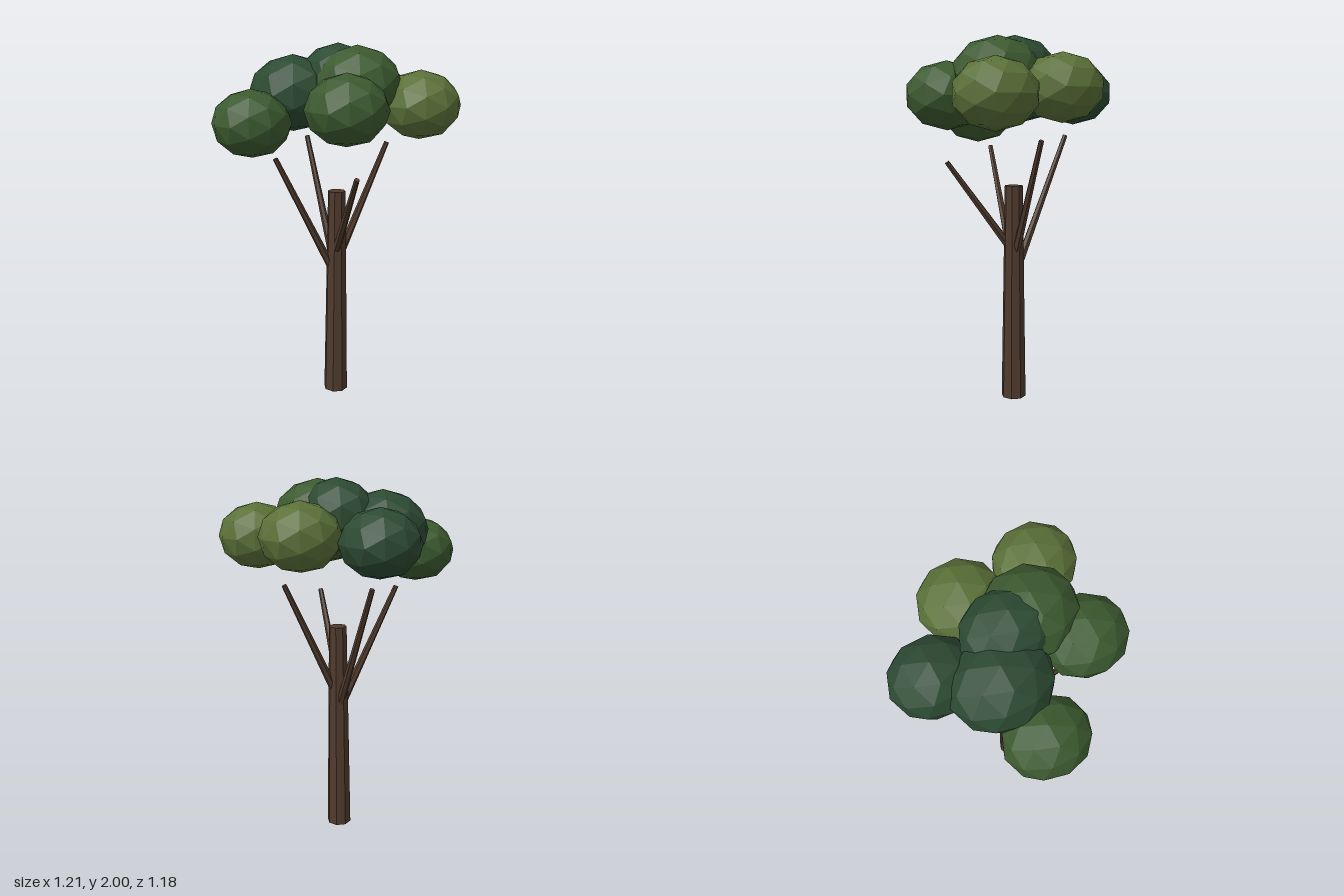
import * as THREE from 'three';

const paint = (color) => new THREE.MeshStandardMaterial({ color, flatShading: true });

// Tapered limb running between two points
function limb(name, from, to, r0, r1, sides, material) {
  const a = new THREE.Vector3(...from), b = new THREE.Vector3(...to);
  const dir = b.clone().sub(a);
  const mesh = new THREE.Mesh(new THREE.CylinderGeometry(r1, r0, dir.length(), sides), material);
  mesh.name = name;
  mesh.position.copy(a).add(b).multiplyScalar(0.5);
  mesh.quaternion.setFromUnitVectors(new THREE.Vector3(0, 1, 0), dir.normalize());
  return mesh;
}

export function createModel() {
  const tree = new THREE.Group();
  tree.name = 'tree';
  const bark = paint(0x4f3a2c);
  const darkLeaf = paint(0x2c4a32), midLeaf = paint(0x3c5a30), lightLeaf = paint(0x5a7038);

  // Trunk
  tree.add(limb('trunk', [0.08, 0, 0.035], [0.08, 1.2, 0.035], 0.069, 0.05, 8, bark));

  // Branches fanning out from the upper trunk
  const branches = [
    ['leftBranch', [0.09, 0.8, 0.035], [0.385, 1.455, 0.075]],
    ['rightBranch', [0.07, 0.72, 0.03], [-0.265, 1.4, -0.035]],
    ['frontBranch', [0.07, 0.84, 0.04], [-0.025, 1.335, 0.39]],
    ['backBranch', [0.085, 0.7, 0.03], [0.09, 1.465, -0.31]],
  ];
  for (const [name, from, to] of branches) tree.add(limb(name, from, to, 0.024, 0.014, 6, bark));

  // Foliage: squashed faceted balls (name, centre, radii, leaf colour)
  const clumps = [
    ['rightFoliage', [-0.4, 1.597, -0.034], [0.205, 0.178, 0.224], midLeaf],
    ['backFoliage', [0.085, 1.702, -0.369], [0.204, 0.176, 0.224], darkLeaf],
    ['leftFoliage', [0.364, 1.722, -0.073], [0.21, 0.18, 0.223], lightLeaf],
    ['frontLeftFoliage', [0.392, 1.686, 0.352], [0.208, 0.18, 0.222], lightLeaf],
    ['frontRightFoliage', [-0.07, 1.683, 0.36], [0.21, 0.182, 0.226], midLeaf],
    ['innerFoliage', [-0.11, 1.735, -0.113], [0.234, 0.205, 0.264], darkLeaf],
    ['crownBackFoliage', [0.085, 1.815, 0.032], [0.2, 0.185, 0.248], darkLeaf],
    ['crownFrontFoliage', [0.12, 1.785, 0.162], [0.235, 0.206, 0.251], midLeaf],
  ];
  const ball = new THREE.IcosahedronGeometry(1, 1);
  for (const [name, centre, radii, material] of clumps) {
    const mesh = new THREE.Mesh(ball, material);
    mesh.name = name;
    mesh.position.set(...centre);
    mesh.scale.set(...radii);
    tree.add(mesh);
  }
  return tree;
}
